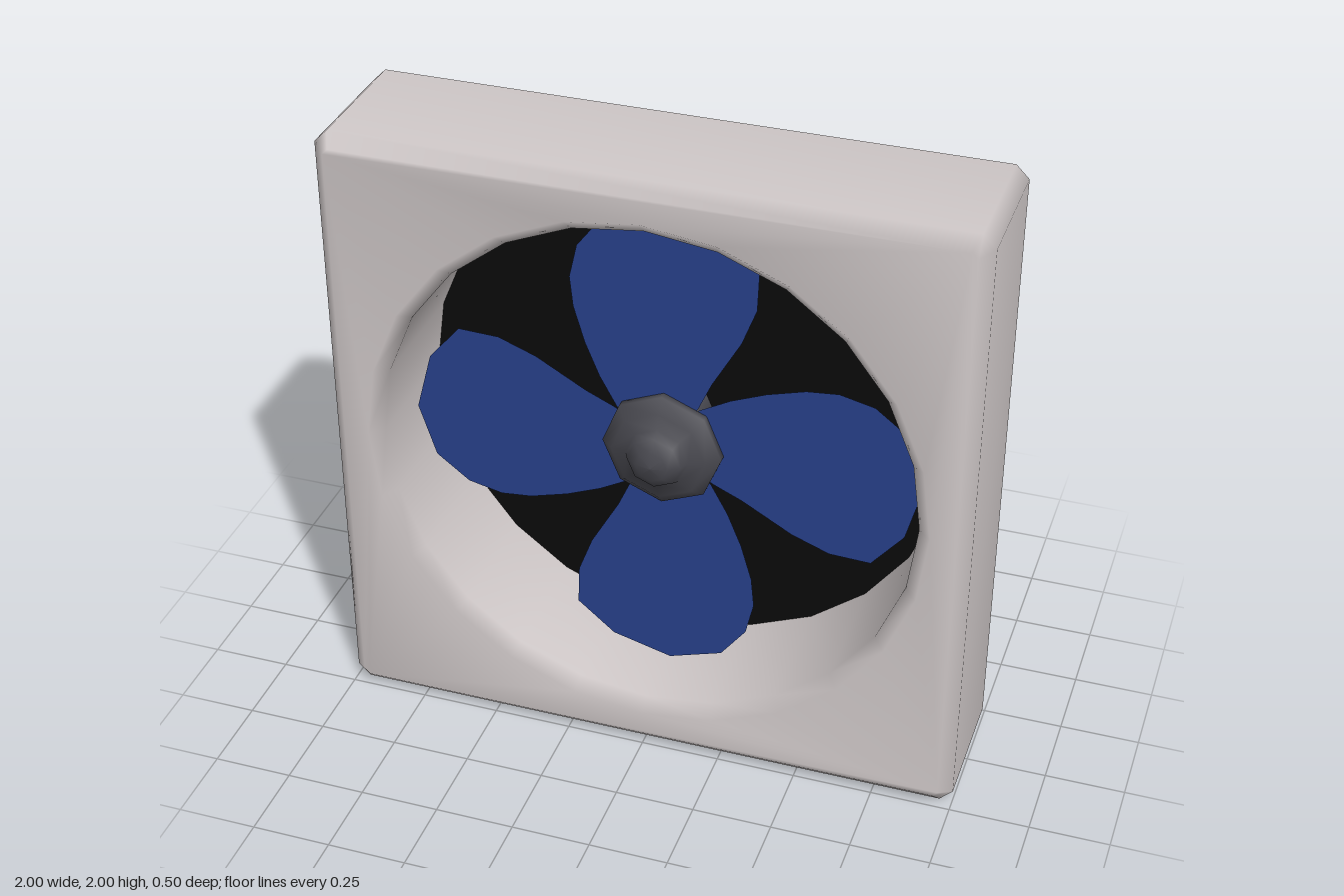
import * as THREE from 'three';
import { mergeVertices } from 'three/addons/utils/BufferGeometryUtils.js';

const material = (color, extra = {}) => new THREE.MeshStandardMaterial({ color, ...extra });

function addMesh(parent, name, geometry, mat) {
  const mesh = new THREE.Mesh(geometry, mat);
  mesh.name = name;
  parent.add(mesh);
  return mesh;
}

// Square casing with chamfered edges and a 24-sided round opening.
function casingGeometry() {
  const bevel = 0.04, half = 1 - bevel, cut = 0.017, holeRadius = 0.88;
  const a = half - cut;
  const shape = new THREE.Shape([
    [half, -a], [half, a], [a, half], [-a, half],
    [-half, a], [-half, -a], [-a, -half], [a, -half],
  ].map(([x, y]) => new THREE.Vector2(x, y)));
  const hole = [];
  for (let i = 0; i < 24; i++) {
    const t = -i / 24 * Math.PI * 2;
    hole.push(new THREE.Vector2(Math.cos(t) * holeRadius, Math.sin(t) * holeRadius));
  }
  shape.holes.push(new THREE.Path(hole));
  const geometry = new THREE.ExtrudeGeometry(shape, {
    depth: 0.42, bevelEnabled: true, bevelSize: bevel, bevelThickness: bevel, bevelSegments: 1,
  });
  geometry.translate(0, 0, -0.21);
  // Shared vertices give soft shading across the chamfers.
  geometry.deleteAttribute('normal');
  geometry.deleteAttribute('uv');
  const smooth = mergeVertices(geometry, 1e-4);
  smooth.computeVertexNormals();
  return smooth;
}

// One blade pointing up, measured from the hub centre.
function bladeGeometry() {
  const outline = [
    [0.05, 0.05], [0.11, 0.16], [0.15, 0.25], [0.24, 0.41], [0.285, 0.53], [0.29, 0.66],
    [0.17, 0.76], [-0.02, 0.81], [-0.19, 0.755], [-0.27, 0.65], [-0.295, 0.54],
    [-0.285, 0.44], [-0.25, 0.32], [-0.205, 0.21], [-0.15, 0.11], [-0.05, 0.03],
  ];
  return new THREE.ShapeGeometry(new THREE.Shape(outline.map(([x, y]) => new THREE.Vector2(x, y))));
}

export function createModel() {
  const model = new THREE.Group();
  model.name = 'boxFan';
  const body = new THREE.Group();
  body.name = 'fanBody';
  body.position.y = 1;
  model.add(body);

  addMesh(body, 'casing', casingGeometry(), material(0xcfc8c8));

  // Dark panel closing the back of the opening
  const panel = new THREE.CylinderGeometry(0.85, 0.85, 0.035, 24).rotateX(Math.PI / 2);
  addMesh(body, 'backPanel', panel, material(0x0b0b0b)).position.z = -0.227;

  // Rotor: four flat blades around a faceted hub
  const rotor = new THREE.Group();
  rotor.name = 'rotor';
  rotor.position.z = 0.03;
  body.add(rotor);

  const blade = bladeGeometry();
  const blue = material(0x27408b, { side: THREE.DoubleSide });
  for (let i = 0; i < 4; i++) {
    addMesh(rotor, 'blade', blade, blue).rotation.z = i * Math.PI / 2;
  }

  const hubProfile = [
    [0, -0.03], [0.16, -0.03], [0.19, 0], [0.19, 0.025], [0.15, 0.06],
    [0.1, 0.07], [0.085, 0.1], [0.05, 0.125], [0, 0.135],
  ].map(([r, z]) => new THREE.Vector2(r, z));
  const dark = material(0x48484f);
  addMesh(rotor, 'hub', new THREE.LatheGeometry(hubProfile, 8).rotateX(Math.PI / 2), dark);

  const shaft = new THREE.CylinderGeometry(0.08, 0.08, 0.22, 8).rotateX(Math.PI / 2);
  addMesh(rotor, 'shaft', shaft, dark).position.z = -0.13;

  return model;
}
